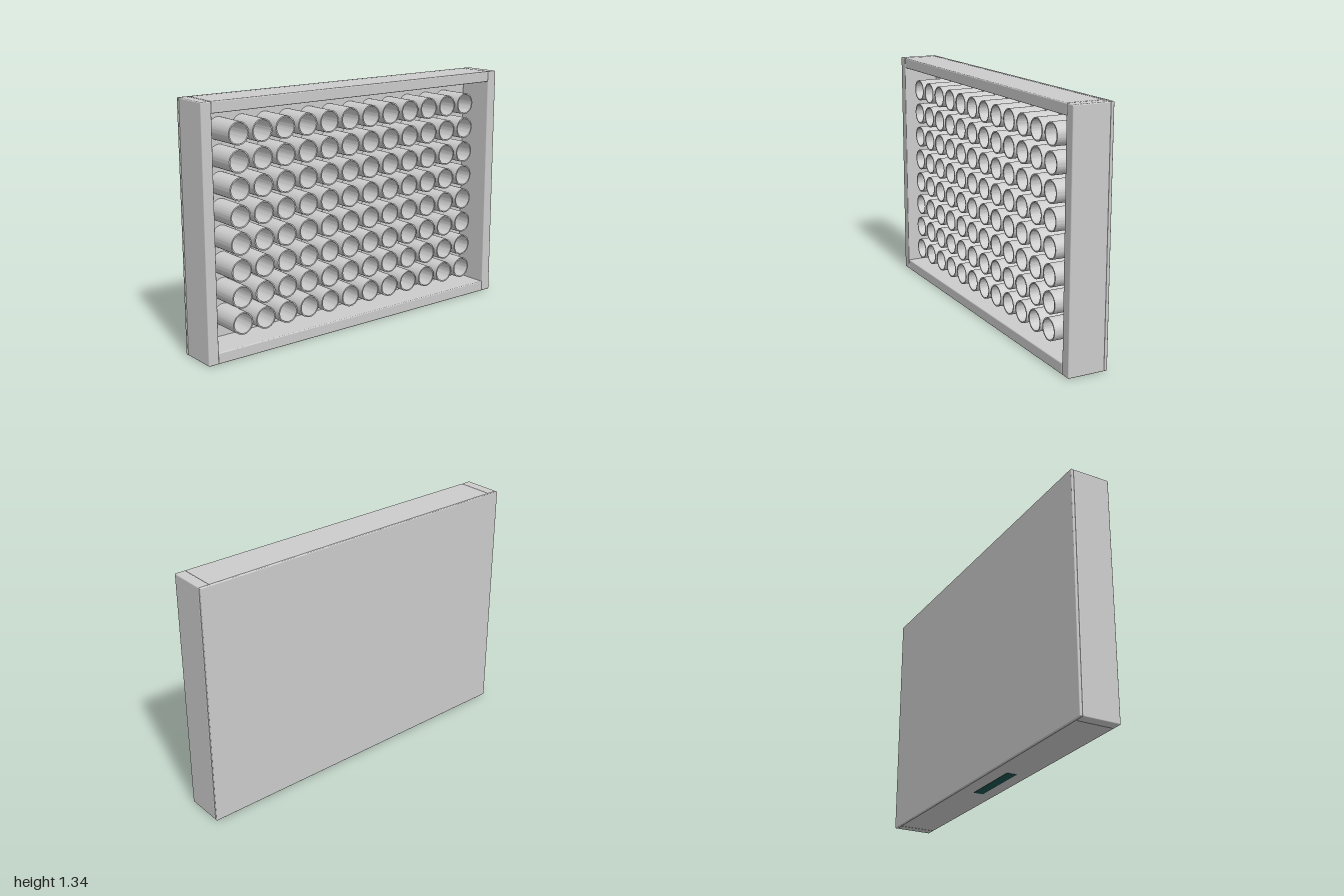
import * as THREE from 'three';
import { RoundedBoxGeometry } from 'three/addons/geometries/RoundedBoxGeometry.js';
import { toCreasedNormals } from 'three/addons/utils/BufferGeometryUtils.js';

const W = 2, H = 1.34, BOTTOM = 0.002;
const FRONT = 0.112, BACK = -0.112, FLOOR = -0.095;
const RAIL = 0.06;

export function createModel() {
  const group = new THREE.Group();
  const grey = new THREE.MeshStandardMaterial({ color: 0xcccccc });
  const teal = new THREE.MeshStandardMaterial({ color: 0x1f5550 });

  // Softly rounded box given by its two extreme corners
  function slab(name, [x0, y0, z0], [x1, y1, z1], radius = 0.006) {
    const mesh = new THREE.Mesh(
      new RoundedBoxGeometry(x1 - x0, y1 - y0, z1 - z0, 3, radius), grey);
    mesh.position.set((x0 + x1) / 2, (y0 + y1) / 2, (z0 + z1) / 2);
    mesh.name = name;
    group.add(mesh);
  }

  // Back panel and the four rails of the frame
  const inner = W / 2 - RAIL;
  slab('backPanel', [-W / 2, BOTTOM, BACK], [W / 2, H, FLOOR], 0.005);
  slab('leftRail', [inner, BOTTOM, FLOOR], [W / 2, H, FRONT]);
  slab('rightRail', [-W / 2, BOTTOM, FLOOR], [-inner, H, FRONT]);
  slab('topRail', [-inner, H - RAIL, FLOOR], [inner, H, FRONT]);
  slab('bottomRail', [-inner, BOTTOM, FLOOR], [inner, BOTTOM + RAIL, FRONT]);

  // Open tubes in a 12 by 8 grid
  const ring = new THREE.Shape().absarc(0, 0, 0.06, 0, Math.PI * 2);
  ring.holes.push(new THREE.Path().absarc(0, 0, 0.053, 0, Math.PI * 2, true));
  const tube = toCreasedNormals(new THREE.ExtrudeGeometry(ring, {
    depth: 0.188, bevelEnabled: false, curveSegments: 32,
  }), 0.6);
  const wells = new THREE.Group();
  wells.name = 'wells';
  const pitch = 0.141;
  for (let row = 0; row < 8; row++) {
    for (let col = 0; col < 12; col++) {
      const well = new THREE.Mesh(tube, grey);
      well.name = 'well';
      well.position.set((col - 5.5) * pitch - 0.002, 0.671 + (row - 3.5) * pitch, FLOOR);
      wells.add(well);
    }
  }
  group.add(wells);

  // Plain label plate on the underside
  const label = new THREE.Mesh(new THREE.BoxGeometry(0.36, 0.004, 0.055), teal);
  label.name = 'labelPlate';
  label.position.set(0, 0.002, 0.008);
  group.add(label);

  return group;
}
